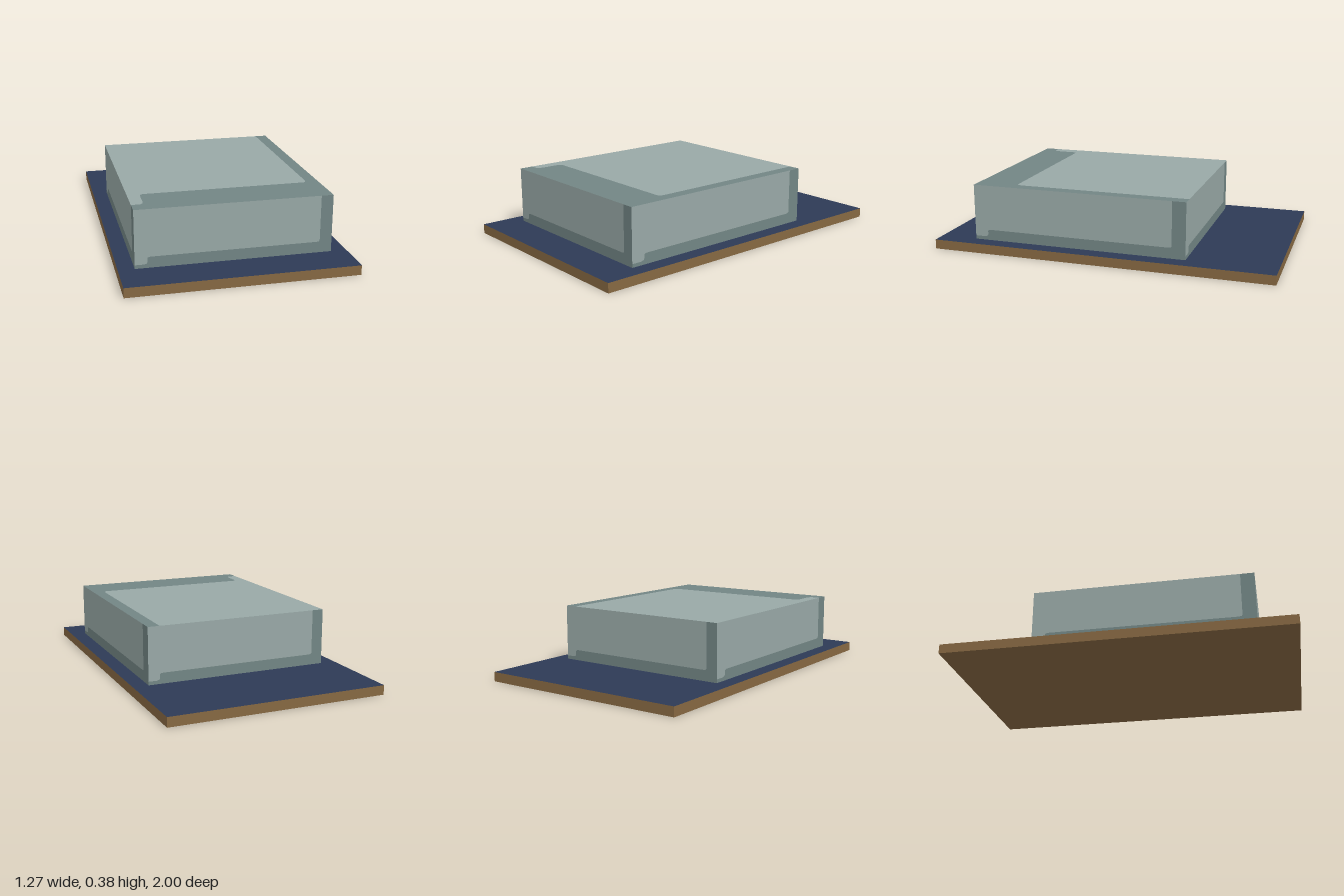
import * as THREE from 'three';

export function createModel() {
  const mat = (name, color) => {
    const m = new THREE.MeshStandardMaterial({ color });
    m.name = name;
    return m;
  };
  const wood = mat('brown wood', 0x866842);
  const navy = mat('navy cover', 0x2d3a56);
  const pale = mat('pale grey green', 0x98a8a6);
  const shade = mat('dark grey green', 0x728584);

  const model = new THREE.Group();
  model.name = 'boxOnBoard';

  // Wooden board with a navy top face
  const baseH = 0.055;
  const board = new THREE.Mesh(
    new THREE.BoxGeometry(1.27, baseH, 2),
    [wood, wood, navy, wood, wood, wood]
  );
  board.name = 'board';
  board.position.y = baseH / 2;
  model.add(board);

  // Each box panel is a unit square split along one rounded step line
  const step = [
    [0, 0.063], [0.045, 0.063], [0.058, 0.075], [0.0625, 0.1], [0.0625, 0.17], [0.067, 0.183],
    [0.078, 0.19], [0.92, 0.19], [0.933, 0.197], [0.9375, 0.215], [0.9375, 1]
  ];
  const panelGeometry = (points) => new THREE.ShapeGeometry(
    new THREE.Shape(points.map(([u, v]) => new THREE.Vector2(u - 0.5, v - 0.5)))
  );
  const fieldGeo = panelGeometry([...step, [0, 1]]);
  const borderGeo = panelGeometry([[0, 0], [1, 0], [1, 1], ...[...step].reverse()]);

  // Box made of five panels, standing on the board towards the front
  const W = 1.09, H = 0.328, D = 1.27;
  const box = new THREE.Group();
  box.name = 'box';
  box.position.set(0, baseH + H / 2, 0.145);
  model.add(box);

  function addPanel(name, w, h, position, rx, ry) {
    const panel = new THREE.Group();
    panel.name = name;
    const field = new THREE.Mesh(fieldGeo, pale);
    field.name = name + 'Field';
    const border = new THREE.Mesh(borderGeo, shade);
    border.name = name + 'Border';
    panel.add(field, border);
    panel.scale.set(w, h, 1);
    panel.position.set(...position);
    panel.rotation.set(rx, ry, 0);
    box.add(panel);
  }
  addPanel('frontPanel', W, H, [0, 0, D / 2], 0, 0);
  addPanel('backPanel', W, H, [0, 0, -D / 2], 0, Math.PI);
  addPanel('leftPanel', D, H, [W / 2, 0, 0], 0, Math.PI / 2);
  addPanel('rightPanel', D, H, [-W / 2, 0, 0], 0, -Math.PI / 2);
  addPanel('topPanel', W, D, [0, H / 2, 0], -Math.PI / 2, 0);

  return model;
}
